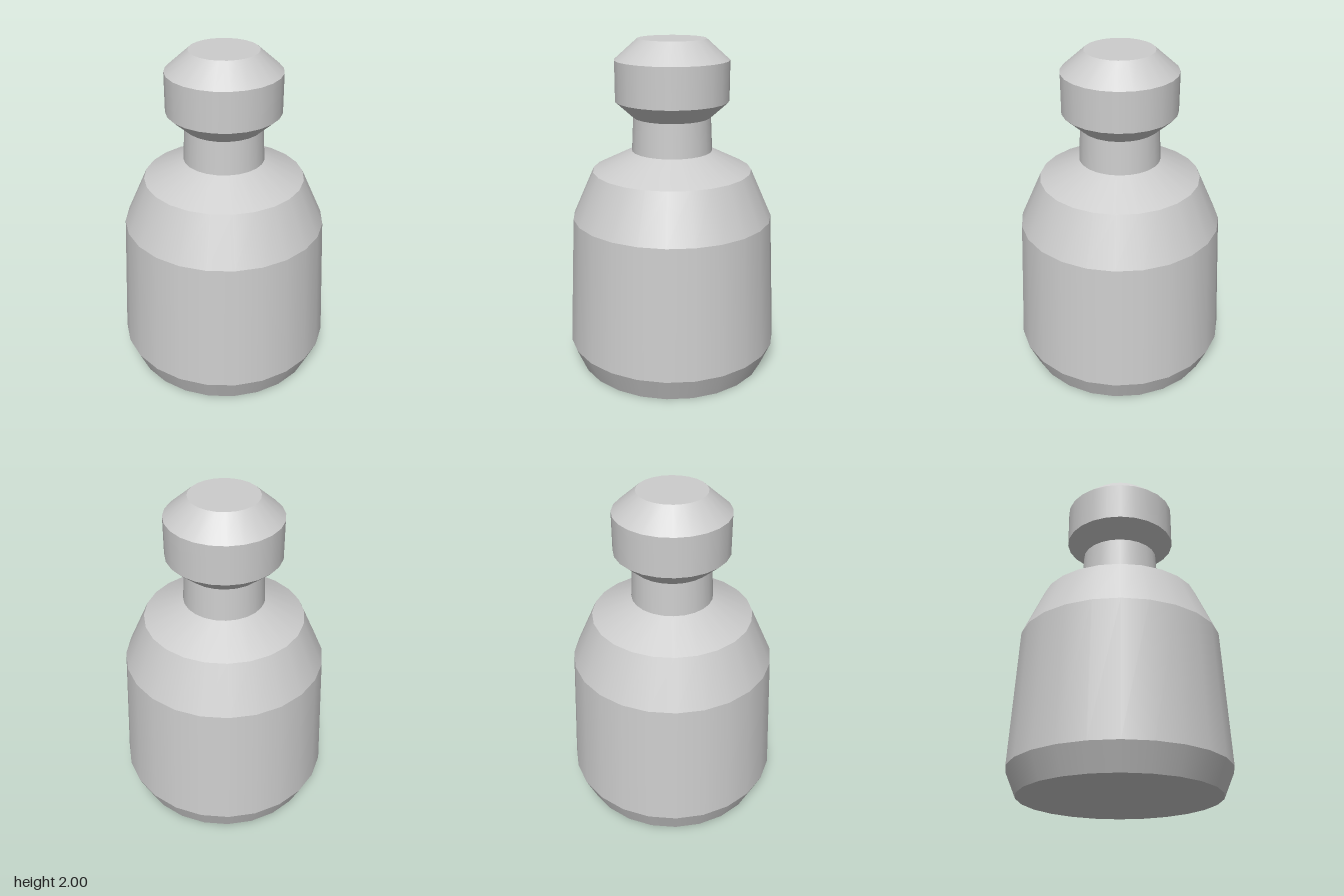
import * as THREE from 'three';

export function createModel() {
  const model = new THREE.Group();
  model.name = 'bottle';
  const lightGrey = new THREE.MeshStandardMaterial({ color: 0xcccccc });
  lightGrey.name = 'light grey';
  const sides = 24;

  // Rings from the base up: [radius, height, name of the band below the ring]
  const rings = [
    [0.582, 0],
    [0.645, 0.148, 'baseBevel'],
    [0.603, 0.945, 'body'],
    [0.476, 1.23, 'upperBody'],
    [0.24, 1.347, 'shoulder'],
    [0.23, 1.549, 'neck'],
    [0.336, 1.645, 'capUnderside'],
    [0.336, 1.88, 'capSide'],
    [0.2, 2, 'capBevel'],
  ];

  // Each band is smooth around, with sharp edges between bands
  for (let i = 1; i < rings.length; i++) {
    const [r0, y0] = rings[i - 1];
    const [r1, y1, name] = rings[i];
    const band = new THREE.Mesh(new THREE.CylinderGeometry(r1, r0, y1 - y0, sides, 1, true), lightGrey);
    band.name = name;
    band.position.y = (y0 + y1) / 2;
    model.add(band);
  }

  // Flat discs close the two ends
  const addDisc = (name, radius, y, tilt) => {
    const disc = new THREE.Mesh(new THREE.CircleGeometry(radius, sides), lightGrey);
    disc.name = name;
    disc.position.y = y;
    disc.rotation.x = tilt;
    model.add(disc);
  };
  addDisc('bottomFace', 0.582, 0, Math.PI / 2);
  addDisc('topFace', 0.2, 2, -Math.PI / 2);

  return model;
}
